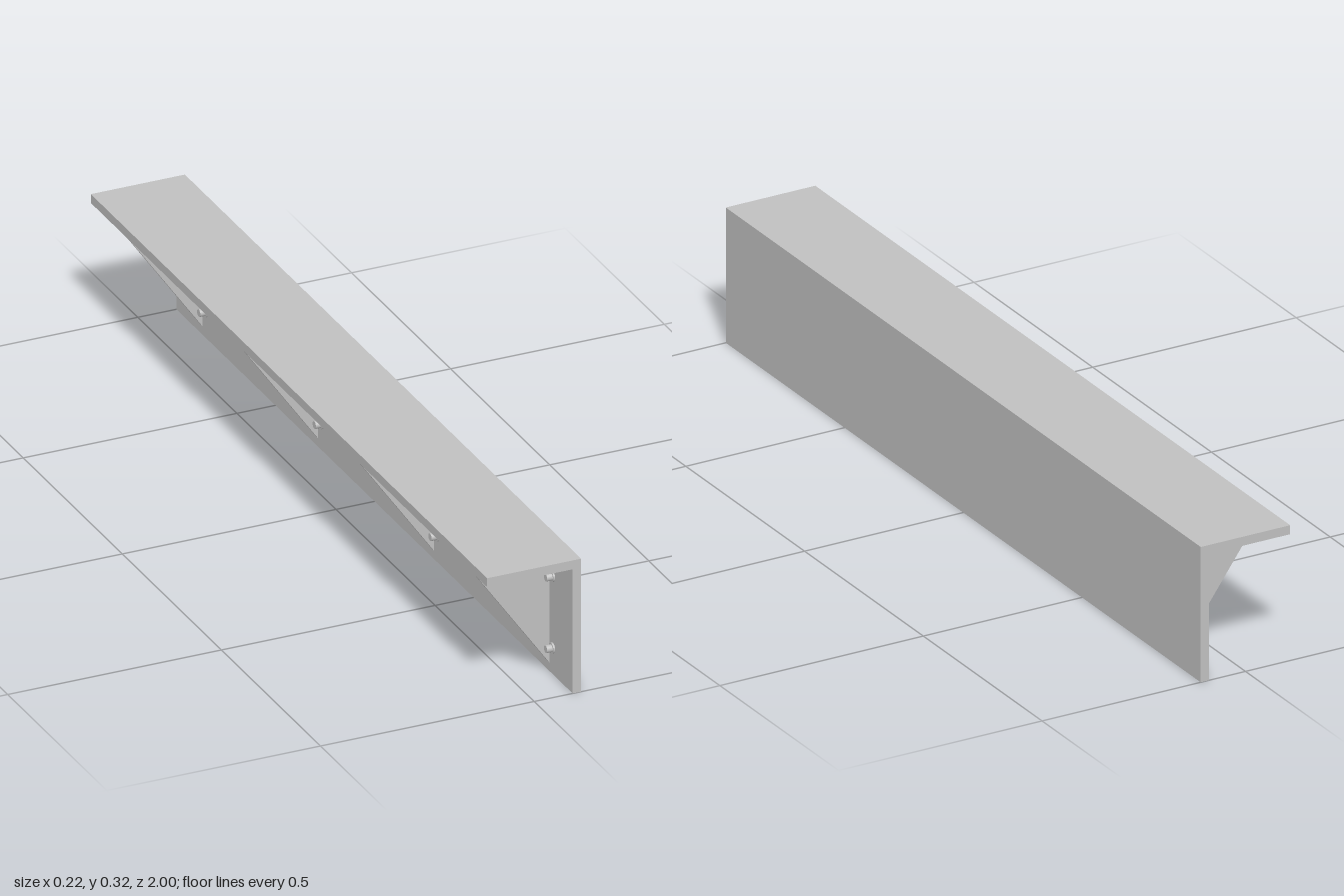
import * as THREE from 'three';

const steel = new THREE.MeshStandardMaterial({ color: 0xc0c0c0 });
steel.name = 'grey steel';

// Extrudes an outline in the x-y plane, centred on z
function plate(name, points, depth, z = 0) {
  const shape = new THREE.Shape(points.map(([x, y]) => new THREE.Vector2(x, y)));
  const geometry = new THREE.ExtrudeGeometry(shape, { depth, bevelEnabled: false });
  geometry.translate(0, 0, z - depth / 2);
  const mesh = new THREE.Mesh(geometry, steel);
  mesh.name = name;
  return mesh;
}

// Round disc whose axis runs along x
function disc(name, radius, x0, x1) {
  const geometry = new THREE.CylinderGeometry(radius, radius, x1 - x0, 24);
  geometry.rotateZ(Math.PI / 2);
  geometry.translate((x0 + x1) / 2, 0, 0);
  const mesh = new THREE.Mesh(geometry, steel);
  mesh.name = name;
  return mesh;
}

function bolt(y, z) {
  const group = new THREE.Group();
  group.name = 'bolt';
  group.add(disc('boltWasher', 0.012, 0.086, 0.09), disc('boltHead', 0.0085, 0.073, 0.086));
  group.position.set(0, y, z);
  return group;
}

export function createModel() {
  const model = new THREE.Group();
  model.name = 'angleBracket';

  // Long angle section: top flange and upright wall
  model.add(plate('angleProfile', [
    [-0.11, 0.295], [0.09, 0.295], [0.09, 0], [0.11, 0], [0.11, 0.316], [-0.11, 0.316],
  ], 2));

  // Triangular stiffeners with bolts on both sides
  for (const z of [-0.875, -0.292, 0.292, 0.875]) {
    model.add(plate('gusset', [[-0.105, 0.295], [0.09, 0.02], [0.09, 0.295]], 0.015, z));
    for (const side of [-1, 1]) {
      for (const y of [0.063, 0.233]) model.add(bolt(y, z + side * 0.025));
    }
  }
  return model;
}
